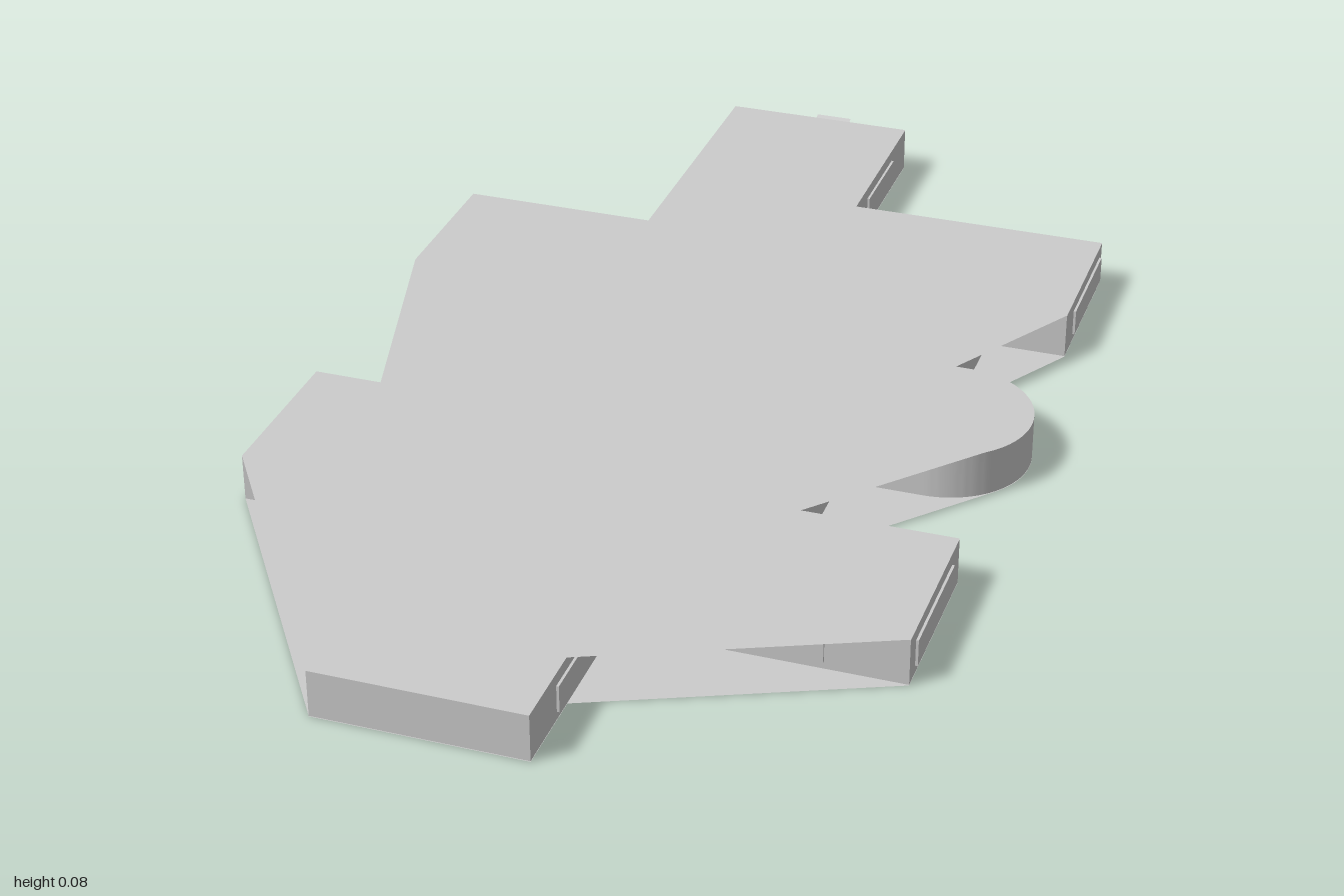
import * as THREE from 'three';
import { toCreasedNormals } from 'three/addons/utils/BufferGeometryUtils.js';

const H = 0.077; // hull height
const GREY = new THREE.MeshStandardMaterial({ color: 0xcccccc });
const SHEET = new THREE.MeshStandardMaterial({ color: 0xcccccc, side: THREE.DoubleSide });

// Plan outline drawn in x,z; arcEnd is the angle where the round bay stops.
function outline(before, arcEnd, after) {
  const s = new THREE.Shape();
  before.forEach(([x, z], i) => (i ? s.lineTo(x, z) : s.moveTo(x, z)));
  s.absarc(0.42, 0.05, 0.135, -Math.PI / 2, arcEnd, false);
  after.forEach(([x, z]) => s.lineTo(x, z));
  s.closePath();
  return s;
}

export function createModel() {
  const model = new THREE.Group();
  const add = (name, geometry, material = GREY) => {
    const mesh = new THREE.Mesh(geometry, material);
    mesh.name = name;
    model.add(mesh);
    return mesh;
  };

  // Floor and roof sheets, with slanted edges overhanging the walls
  const deck = outline(
    [[-0.23, -0.9], [0.095, -0.9], [0.095, -0.575], [0.53, -0.575], [0.53, -0.305], [0.4, -0.085]],
    0.72,
    [[0.29, 0.4], [0.53, 0.4], [0.53, 0.67], [0.095, 0.86], [0.095, 1], [-0.23, 1], [-0.555, 0.52],
      [-0.555, 0.25], [-0.445, 0.25], [-0.555, -0.15], [-0.555, -0.41], [-0.23, -0.41]]);
  for (const [name, y] of [['floor', 0], ['roof', H]]) {
    add(name, new THREE.ShapeGeometry(deck, 32).rotateX(Math.PI / 2), SHEET).position.y = y;
  }

  // Stepped room walls set between the two sheets
  const rooms = outline(
    [[-0.23, -0.9], [0.095, -0.9], [0.095, -0.575], [0.53, -0.575], [0.53, -0.305], [0.4, -0.305], [0.4, -0.085]],
    Math.PI / 2,
    [[0.29, 0.185], [0.29, 0.4], [0.53, 0.4], [0.53, 0.67], [0.095, 0.67], [0.095, 1], [-0.23, 1], [-0.23, 0.52],
      [-0.555, 0.52], [-0.555, 0.25], [-0.445, 0.25], [-0.445, -0.15], [-0.555, -0.15], [-0.555, -0.41], [-0.23, -0.41]]);
  const walls = new THREE.ExtrudeGeometry(rooms, { depth: H - 0.002, bevelEnabled: false, curveSegments: 32 });
  walls.rotateX(Math.PI / 2).translate(0, H - 0.001, 0);
  add('walls', toCreasedNormals(walls, 0.5));

  // Small square windows on walls across z: [x, z]
  for (const [x, z] of [[-0.48, -0.41], [-0.305, -0.41], [0.215, -0.575], [0.385, -0.575],
    [-0.48, 0.25], [0.385, 0.4], [-0.48, 0.52], [-0.305, 0.52], [0.215, 0.67], [0.385, 0.67]]) {
    add('squareWindow', new THREE.BoxGeometry(0.043, 0.043, 0.008)).position.set(x, 0.035, z);
  }

  // Long windows on walls across x: [x, z start, z end]
  for (const [x, a, b] of [[0.53, -0.56, -0.36], [0.53, 0.44, 0.64], [0.095, -0.81, -0.65], [0.095, 0.75, 0.9],
    [-0.555, -0.37, -0.2], [-0.555, 0.33, 0.44], [-0.23, -0.78, -0.52], [-0.23, 0.64, 0.88]]) {
    add('longWindow', new THREE.BoxGeometry(0.008, 0.043, b - a)).position.set(x, 0.035, (a + b) / 2);
  }

  // Rear doorway and its raised ramp
  add('rearDoor', new THREE.BoxGeometry(0.064, 0.045, 0.004)).position.set(-0.068, 0.028, -0.9);
  const ramp = new THREE.PlaneGeometry(0.064, Math.hypot(0.1, 0.03)).rotateX(-Math.PI / 2 + Math.atan2(0.03, 0.1));
  add('rearRamp', ramp, SHEET).position.set(-0.068, 0.02, -0.95);

  return model;
}
